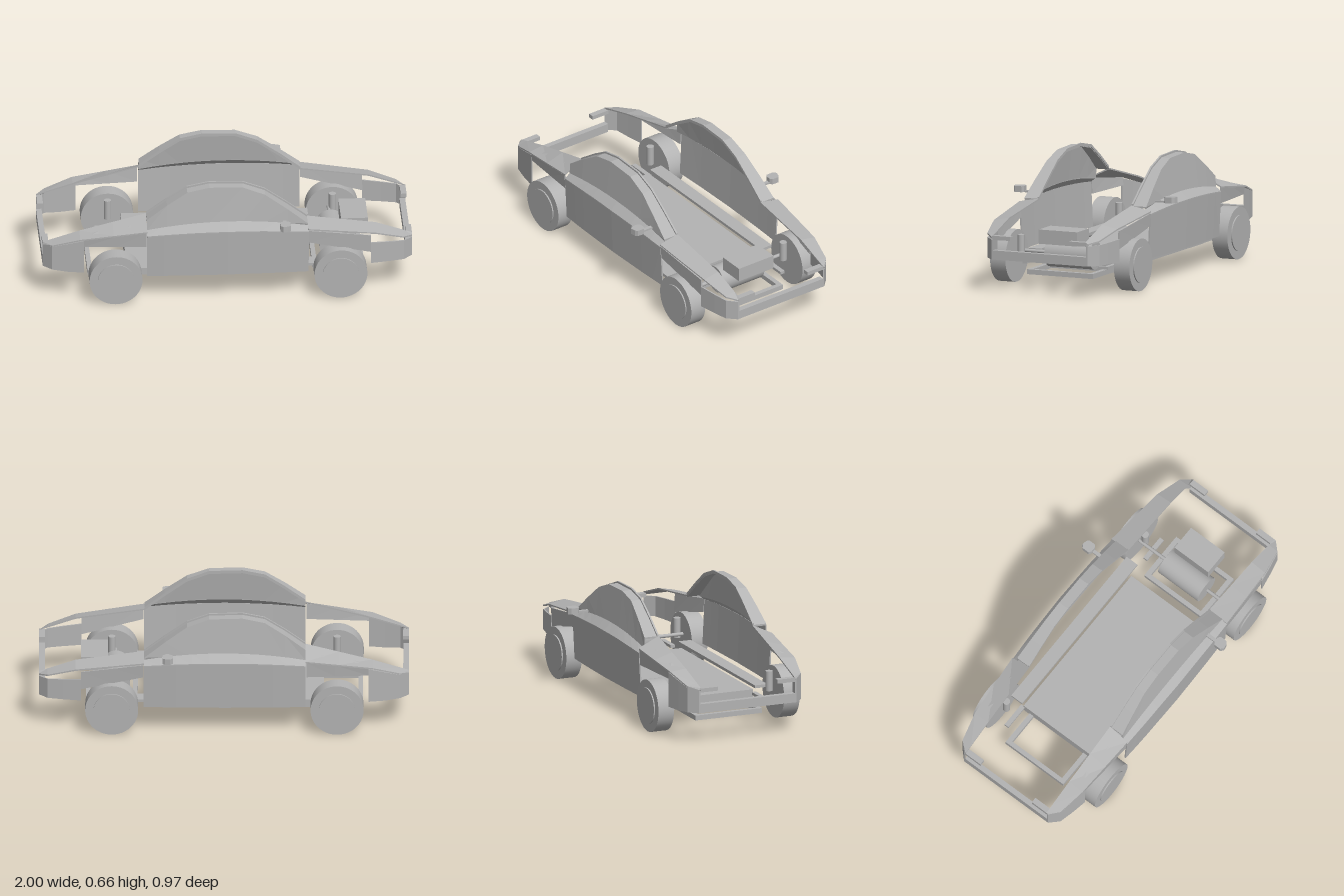
import * as THREE from 'three';

const grey = new THREE.MeshStandardMaterial({ color: 0xb3b3b3, side: THREE.DoubleSide });
grey.name = 'bodyGrey';

// piecewise-linear lookup in [[x, value], ...]
function lerp(table, x) {
  for (let i = 1; i < table.length; i++) {
    const [x0, v0] = table[i - 1], [x1, v1] = table[i];
    if (x <= x1) return v0 + (v1 - v0) * (x - x0) / (x1 - x0);
  }
  return table[table.length - 1][1];
}
const PLAN = [[0, 0.405], [0.3, 0.4], [0.45, 0.393], [0.8, 0.368], [0.95, 0.335], [1, 0.285]];
const sideZ = x => lerp(PLAN, Math.abs(x));
const ROOF = [[-0.44, 0.475], [-0.33, 0.555], [-0.22, 0.625], [-0.1, 0.65], [0.08, 0.645], [0.2, 0.6], [0.32, 0.515], [0.43, 0.43]];
const roofZ = y => lerp([[0.43, 0.365], [0.55, 0.35], [0.64, 0.338], [0.7, 0.336]], y);
const doorTop = x => 0.413 - 0.1 * x * x;
const sillLine = x => 0.455 - 0.2 * x * x;

export function createModel() {
  const model = new THREE.Group();

  const add = (name, geometry, x = 0, y = 0, z = 0) => {
    const mesh = new THREE.Mesh(geometry, grey);
    mesh.name = name;
    mesh.position.set(x, y, z);
    model.add(mesh);
    return mesh;
  };
  // box given by its limits
  const box = (name, x0, x1, y0, y1, z0, z1) =>
    add(name, new THREE.BoxGeometry(x1 - x0, y1 - y0, Math.abs(z1 - z0)), (x0 + x1) / 2, (y0 + y1) / 2, (z0 + z1) / 2);
  const rod = (name, r, len, x, y, z, seg = 32) => {
    const g = new THREE.CylinderGeometry(r, r, len, seg).rotateX(Math.PI / 2);
    return add(name, g, x, y, z);
  };
  // thin solid sheet: stations along x, each with edge points a and b as [y, z]
  const sheet = (name, side, xs, a, b, off) => {
    const pos = [], idx = [], n = xs.length;
    for (const x of xs) {
      const [ay, az] = a(x), [by, bz] = b(x);
      for (const [y, z] of [[ay, az], [by, bz], [by + off[0], bz + off[1]], [ay + off[0], az + off[1]]])
        pos.push(x, y, z * side);
    }
    const dy = pos[4] - pos[1], dz = pos[5] - pos[2];
    const flip = dz * off[0] - dy * off[1] * side > 0;
    const quad = (p, q, r, s) => flip ? idx.push(p, r, q, p, s, r) : idx.push(p, q, r, p, r, s);
    for (let i = 0; i < n - 1; i++)
      for (let j = 0; j < 4; j++) {
        const k = (j + 1) % 4;
        quad(i * 4 + j, i * 4 + k, i * 4 + 4 + k, i * 4 + 4 + j);
      }
    quad(3, 2, 1, 0);
    const e = n * 4 - 4;
    quad(e, e + 1, e + 2, e + 3);
    let g = new THREE.BufferGeometry();
    g.setAttribute('position', new THREE.Float32BufferAttribute(pos, 3));
    g.setIndex(idx);
    g = g.toNonIndexed();
    g.computeVertexNormals();
    return add(name, g);
  };
  const span = (x0, x1, n) => Array.from({ length: n + 1 }, (_, i) => x0 + (x1 - x0) * i / n);

  // floor, bumpers and subframes
  box('floorPan', -0.54, 0.405, 0.083, 0.146, -0.238, 0.238);
  box('frontBumperBar', 0.966, 0.997, 0.18, 0.23, -0.28, 0.28);
  box('rearBumperBar', -0.998, -0.968, 0.18, 0.23, -0.28, 0.28);
  for (const [name, x0, x1] of [['frontSubframe', 0.465, 0.745], ['rearSubframe', -0.75, -0.47]]) {
    for (const s of [-1, 1]) box(name + 'Rail', x0, x1, 0.07, 0.097, s * 0.17, s * 0.197);
    box(name + 'Crossbar', x0, x0 + 0.025, 0.07, 0.097, -0.17, 0.17);
    box(name + 'Crossbar', x1 - 0.025, x1, 0.07, 0.097, -0.17, 0.17);
  }

  // motor and its control box
  rod('motor', 0.077, 0.27, 0.583, 0.172, 0);
  box('controlBox', 0.625, 0.77, 0.245, 0.323, -0.115, 0.115);

  const roofXs = ROOF.map(p => p[0]);
  const roofY = x => lerp(ROOF, x);
  const cabinXs = span(-0.44, 0.433, 10);

  for (const s of [-1, 1]) {
    // wheels and suspension
    for (const x of [-0.61, 0.605]) {
      rod('tyre', 0.143, 0.092, x, 0.143, s * 0.371, 48);
      rod('hubDisc', 0.098, 0.008, x, 0.143, s * 0.42, 40);
      box('suspensionArm', x - 0.073, x + 0.073, 0.115, 0.131, s * 0.23, s * 0.256);
      add('strut', new THREE.CylinderGeometry(0.02, 0.02, 0.11, 16), x, 0.205, s * 0.3);
    }
    rod('driveShaft', 0.01, 0.19, 0.585, 0.171, s * 0.235, 16);
    box('sill', -0.54, 0.47, 0.15, 0.166, s * 0.248, s * 0.322);

    // cabin side: door, shoulder, window, roof band and roof rail
    sheet('door', s, cabinXs, x => [0.148, sideZ(x) - 0.012], x => [doorTop(x), sideZ(x)], [0, -0.008]);
    sheet('shoulder', s, cabinXs, x => [doorTop(x), sideZ(x)], x => [sillLine(x), 0.362], [-0.006, 0]);
    sheet('sideWindow', s, [...roofXs], x => [sillLine(x), 0.362],
      x => [roofY(x), roofZ(roofY(x))], [0, -0.006]);
    sheet('roofBand', s, roofXs, x => [roofY(x), 0.282], x => [roofY(x), roofZ(roofY(x))], [-0.01, 0]);
    sheet('roofRail', s, roofXs, x => [roofY(x) + 0.01, 0.277], x => [roofY(x) + 0.01, 0.287], [-0.016, 0]);

    // bonnet and boot edge strips
    const bonnetIn = [[0.43, 0.432], [0.8, 0.38], [1, 0.312]], bonnetOut = [[0.43, 0.41], [0.8, 0.362], [1, 0.302]];
    sheet('bonnetStrip', s, [0.43, 0.62, 0.8, 0.95, 0.998],
      x => [lerp(bonnetIn, x), 0.277], x => [lerp(bonnetOut, x), sideZ(x)], [-0.008, 0]);
    const bootIn = [[-1, 0.32], [-0.8, 0.382], [-0.44, 0.475]], bootOut = [[-1, 0.31], [-0.8, 0.372], [-0.44, 0.42]];
    sheet('bootStrip', s, [-0.998, -0.95, -0.8, -0.62, -0.44],
      x => [lerp(bootIn, x), 0.277], x => [lerp(bootOut, x), sideZ(x)], [-0.008, 0]);
    box('frontLampBar', 0.966, 0.998, 0.288, 0.31, s * 0.176, s * 0.28);
    box('rearLampBar', -0.998, -0.966, 0.295, 0.317, s * 0.176, s * 0.28);

    // wings over the wheels and wrap-around corners
    sheet('frontWing', s, [0.435, 0.6, 0.77], x => [0.325 - (x - 0.435) * 0.24, sideZ(x) - 0.006],
      x => [0.398 - (x - 0.435) * 0.15, sideZ(x)], [0, -0.008]);
    sheet('rearWing', s, [-0.78, -0.6, -0.445], x => [0.326, sideZ(x) - 0.006],
      x => [0.37 + (x + 0.78) * 0.13, sideZ(x)], [0, -0.008]);
    sheet('frontCorner', s, [0.77, 0.87, 0.95, 0.998], x => [0.18, sideZ(x)],
      x => [0.303 - (x - 0.77) * 0.06, sideZ(x)], [0, -0.008]);
    sheet('rearCorner', s, [-0.998, -0.95, -0.87, -0.78], x => [x < -0.9 ? 0.18 : 0.173, sideZ(x)],
      x => [0.303 + (x + 1) * 0.28, sideZ(x)], [0, -0.008]);

    // door mirror
    box('mirrorStem', 0.295, 0.315, 0.44, 0.45, s * 0.36, s * 0.425);
    const shape = new THREE.Shape([[0.275, 0.43], [0.275, 0.47], [0.29, 0.485], [0.318, 0.48], [0.332, 0.47], [0.332, 0.43], [0.318, 0.42], [0.29, 0.42]]
      .map(([x, z]) => new THREE.Vector2(x, z * s)));
    add('mirrorHousing', new THREE.ExtrudeGeometry(shape, { depth: 0.033, bevelEnabled: false }).rotateX(Math.PI / 2), 0, 0.474, 0);
  }
  return model;
}
